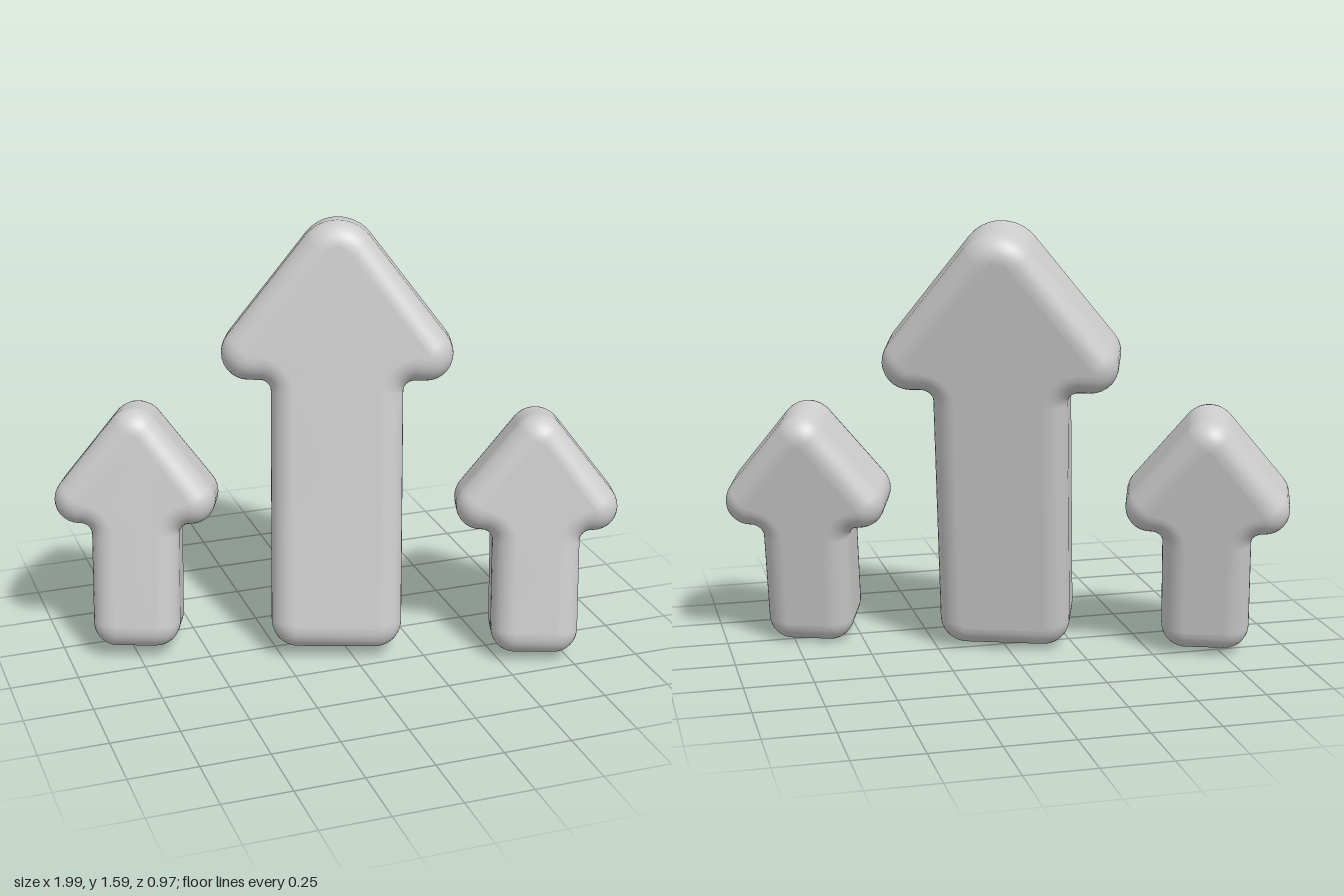
import * as THREE from 'three';
import { mergeVertices } from 'three/addons/utils/BufferGeometryUtils.js';

const DEPTH = 0.31;   // full thickness of every arrow
const BEVEL = 0.085;  // softness of the front and back rims

// Closed outline from sharp corners [x, y, radius], each replaced by an arc.
function roundedOutline(corners, steps = 10) {
  const points = [];
  corners.forEach(([x, y, r], i) => {
    const p = new THREE.Vector2(x, y);
    const neighbour = (k) => new THREE.Vector2(...corners[(i + k + corners.length) % corners.length].slice(0, 2));
    const toPrev = neighbour(-1).sub(p).normalize();
    const toNext = neighbour(1).sub(p).normalize();
    const half = Math.acos(toPrev.dot(toNext)) / 2;
    const centre = toPrev.clone().add(toNext).normalize().multiplyScalar(r / Math.sin(half)).add(p);
    const start = toPrev.clone().multiplyScalar(r / Math.tan(half)).add(p).sub(centre);
    const turn = (Math.PI - 2 * half) * Math.sign(toNext.cross(toPrev));
    for (let s = 0; s <= steps; s++) {
      points.push(start.clone().rotateAround(new THREE.Vector2(), (turn * s) / steps).add(centre));
    }
  });
  return new THREE.Shape(points);
}

// Soft upright arrow standing on its local origin.
function arrowGeometry({ shaft, wing, neck, apex, cornerR, tipR }) {
  const right = [[shaft, 0, cornerR], [shaft, neck, 0.04], [wing, neck, cornerR]];
  const left = right.map(([x, y, r]) => [-x, y, r]).reverse();
  const geometry = new THREE.ExtrudeGeometry(roundedOutline([...right, [0, apex, tipR], ...left]), {
    depth: DEPTH - 2 * BEVEL,
    bevelThickness: BEVEL,
    bevelSize: BEVEL,
    bevelOffset: -BEVEL,
    bevelSegments: 8,
  });
  geometry.translate(0, 0, BEVEL - DEPTH / 2);
  // Weld the faces so the whole surface shades smoothly
  geometry.deleteAttribute('uv');
  geometry.deleteAttribute('normal');
  const smooth = mergeVertices(geometry, 1e-4);
  smooth.computeVertexNormals();
  return smooth;
}

export function createModel() {
  const group = new THREE.Group();
  group.name = 'threeArrows';
  const material = new THREE.MeshStandardMaterial({ color: 0xcccccc });

  const large = arrowGeometry({ shaft: 0.24, wing: 0.525, neck: 1.0, apex: 1.672, cornerR: 0.1, tipR: 0.15 });
  const small = arrowGeometry({ shaft: 0.16, wing: 0.392, neck: 0.465, apex: 0.955, cornerR: 0.09, tipR: 0.1 });

  // All arrows share the same turn and backward lean
  const addArrow = (name, geometry, x, y, z) => {
    const arrow = new THREE.Mesh(geometry, material);
    arrow.name = name;
    arrow.position.set(x, y, z);
    arrow.rotation.set(THREE.MathUtils.degToRad(-10), THREE.MathUtils.degToRad(-20), 0, 'YXZ');
    group.add(arrow);
  };
  addArrow('centreArrow', large, -0.03, 0.026, 0.07);
  addArrow('leftArrow', small, 0.653, 0.014, 0.33);
  addArrow('rightArrow', small, -0.728, 0.03, -0.17);

  return group;
}
